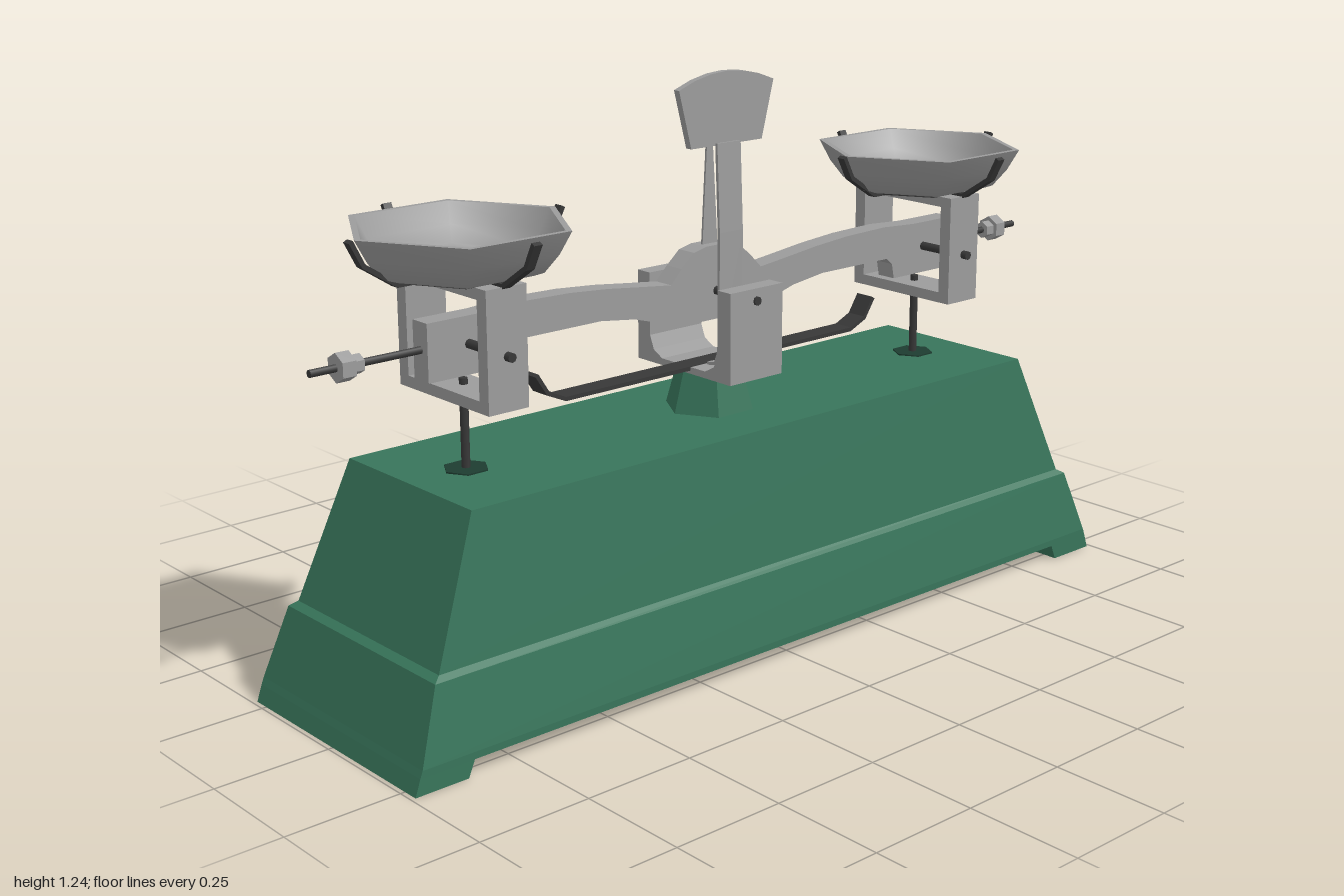
import * as THREE from 'three';

const material = (name, color) => {
  const m = new THREE.MeshStandardMaterial({ color });
  m.name = name;
  return m;
};

export function createModel() {
  const green = material('green paint', 0x38755b);
  const darkGreen = material('dark green recess', 0x1d3c30);
  const metal = material('grey metal', 0x9c9c9c);
  const dark = material('dark steel', 0x383838);
  const model = new THREE.Group();
  model.name = 'balanceScale';

  const add = (name, geo, mat, parent = model) => {
    const mesh = new THREE.Mesh(geo, mat);
    mesh.name = name;
    parent.add(mesh);
    return mesh;
  };
  const toShape = pts => new THREE.Shape(pts.map(p => new THREE.Vector2(p[0], p[1])));

  // Plate extruded symmetrically about z = 0
  const plate = (shape, depth) =>
    new THREE.ExtrudeGeometry(shape, { depth, bevelEnabled: false, curveSegments: 6 })
      .translate(0, 0, -depth / 2);

  // Bent flat strip: a polyline given a thickness, then a width
  const strip = (pts, thick, width) => {
    const sides = [[], []];
    pts.forEach((p, i) => {
      const a = pts[Math.max(i - 1, 0)], b = pts[Math.min(i + 1, pts.length - 1)];
      const l = Math.hypot(b[0] - a[0], b[1] - a[1]);
      const nx = -(b[1] - a[1]) / l * thick / 2, ny = (b[0] - a[0]) / l * thick / 2;
      sides[0].push([p[0] + nx, p[1] + ny]);
      sides[1].unshift([p[0] - nx, p[1] - ny]);
    });
    return plate(toShape([...sides[0], ...sides[1]]), width);
  };

  // Closed block lofted through rectangles [y, xMin, xMax, halfDepth]
  const loft = rings => {
    const pos = [], quad = (a, b, c, d) => pos.push(...a, ...b, ...c, ...a, ...c, ...d);
    const loops = rings.map(([y, x0, x1, z]) => [[x0, y, z], [x1, y, z], [x1, y, -z], [x0, y, -z]]);
    for (let i = 0; i < loops.length - 1; i++)
      for (let k = 0; k < 4; k++) {
        const n = (k + 1) % 4;
        quad(loops[i][k], loops[i][n], loops[i + 1][n], loops[i + 1][k]);
      }
    quad(...loops[loops.length - 1]);
    quad(...[...loops[0]].reverse());
    const g = new THREE.BufferGeometry();
    g.setAttribute('position', new THREE.Float32BufferAttribute(pos, 3));
    g.computeVertexNormals();
    return g;
  };

  const hex = (rTop, rBottom, h) =>
    new THREE.CylinderGeometry(rTop, rBottom, h, 6).toNonIndexed().rotateY(Math.PI / 6);
  const flat = g => { g.computeVertexNormals(); return g; };

  // Stepped base with a foot along each end
  add('base', loft([
    [0.035, -0.978, 0.978, 0.285], [0.05, -0.972, 0.972, 0.285], [0.2, -0.92, 0.92, 0.26],
    [0.21, -0.903, 0.903, 0.248], [0.5, -0.79, 0.79, 0.21]]), green);
  add('leftFoot', loft([[0, 0.868, 0.99, 0.285], [0.035, 0.853, 0.978, 0.285]]), green);
  add('rightFoot', loft([[0, -0.99, -0.868, 0.285], [0.035, -0.978, -0.853, 0.285]]), green);
  add('column', flat(hex(0.072, 0.1, 0.1)), green).position.y = 0.55;

  // U-shaped centre bracket holding the beam pivot
  const u = toShape([[-0.15, 0.59], [0.15, 0.59], [0.15, 0.79], [0.11, 0.79], [0.11, 0.65],
    [0.098, 0.62], [0.07, 0.605], [-0.07, 0.605], [-0.098, 0.62], [-0.11, 0.65],
    [-0.11, 0.79], [-0.15, 0.79]]);
  add('centreBracket', plate(u, 0.15).rotateY(-Math.PI / 2), metal);

  // Beam: half outline mirrored about the pivot
  const beam = new THREE.Shape();
  const top = [[-0.75, 0.82], [-0.62, 0.82], [-0.52, 0.826], [-0.4, 0.823], [-0.3, 0.815],
    [-0.2, 0.803], [-0.13, 0.795], [-0.1, 0.825], [-0.065, 0.855], [-0.03, 0.863]];
  const bottom = [[-0.04, 0.7], [-0.1, 0.702], [-0.16, 0.718], [-0.23, 0.738], [-0.32, 0.75],
    [-0.53, 0.75], [-0.548, 0.735], [-0.555, 0.7], [-0.75, 0.7]];
  const mirror = pts => pts.map(([x, y]) => [-x, y]).reverse();
  beam.setFromPoints([...top, ...mirror(top), ...mirror(bottom), ...bottom]
    .map(p => new THREE.Vector2(...p)));
  add('beam', plate(beam, 0.048), metal);
  add('beamNeedle', plate(toShape([[-0.022, 0.85], [0.022, 0.85], [0.008, 1.085], [-0.008, 1.085]]), 0.005), metal);

  // Fixed pointer: bent stem and fan-shaped head
  add('pointerStem', strip([[0.03, 0.607], [0.055, 0.612], [0.066, 0.64], [0.067, 0.9], [0.059, 1.09]],
    0.007, 0.066).rotateY(-Math.PI / 2), metal);
  const fan = new THREE.Shape();
  fan.moveTo(-0.1, 1.085);
  fan.lineTo(0.1, 1.085);
  fan.lineTo(0.133, 1.21);
  fan.quadraticCurveTo(0, 1.268, -0.133, 1.21);
  add('pointerHead', plate(fan, 0.016), metal).position.z = 0.048;

  // Curved spring strip below the beam
  add('springStrip', strip([[-0.488, 0.665], [-0.46, 0.622], [-0.415, 0.602], [0.415, 0.602],
    [0.46, 0.622], [0.488, 0.665]], 0.009, 0.048), dark);

  const pin = (x, length) => {
    const p = add('pivotPin', new THREE.CylinderGeometry(0.01, 0.01, length, 8).rotateX(Math.PI / 2), dark);
    p.position.set(x, 0.763, 0);
  };
  pin(0, 0.31);

  // Pan profiles: outside, rim, inside
  const panProfiles = [
    [[0, 0.906], [0.155, 0.906], [0.178, 0.914], [0.21, 0.952], [0.237, 1]],
    [[0.237, 1], [0.223, 1]],
    [[0.223, 1], [0.198, 0.957], [0.17, 0.924], [0.148, 0.916], [0, 0.916]]];

  for (const s of [1, -1]) {
    const side = new THREE.Group();
    side.name = s > 0 ? 'leftPanAssembly' : 'rightPanAssembly';
    side.position.x = s * 0.652;
    model.add(side);
    pin(s * 0.652, 0.33);

    // Open rectangular carrier with guide rod
    const frame = toShape([[-0.15, 0.652], [0.15, 0.652], [0.15, 0.9], [-0.15, 0.9]]);
    frame.holes.push(toShape([[-0.12, 0.676], [-0.12, 0.877], [0.12, 0.877], [0.12, 0.676]]));
    add('carrierFrame', plate(frame, 0.096).rotateY(-Math.PI / 2), metal, side);
    add('guideRod', new THREE.CylinderGeometry(0.009, 0.009, 0.19, 8), dark, side).position.y = 0.594;
    add('guideHole', hex(0.048, 0.048, 0.004), darkGreen, side).position.y = 0.501;

    // Six-sided pan
    const pan = new THREE.Group();
    pan.name = 'pan';
    side.add(pan);
    for (const prof of panProfiles)
      add('panShell', new THREE.LatheGeometry(prof.map(p => new THREE.Vector2(...p)), 6)
        .rotateY(Math.PI / 6), metal, pan);

    // Pan support with four bent prongs
    add('panSupport', hex(0.13, 0.13, 0.006), dark, side).position.y = 0.902;
    for (let k = 0; k < 4; k++)
      add('panProng', strip([[0, 0.902], [0.15, 0.902], [0.224, 0.95], [0.25, 1]], 0.01, 0.02)
        .rotateY(k * Math.PI / 2), dark, side);

    // Balance screw and adjusting nut
    const screw = add('balanceScrew',
      new THREE.CylinderGeometry(0.008, 0.008, 0.26, 8).rotateZ(Math.PI / 2), dark);
    screw.position.set(s * 0.87, 0.763, 0);
    [[0.9, 0.02, 0.024], [0.927, 0.03, 0.03]].forEach(([x, r, w]) => {
      const nut = add('adjustingNut', flat(new THREE.CylinderGeometry(r, r, w, 6)
        .toNonIndexed().rotateZ(Math.PI / 2).rotateX(Math.PI / 2)), metal);
      nut.position.set(s * x, 0.763, 0);
    });
  }
  return model;
}
